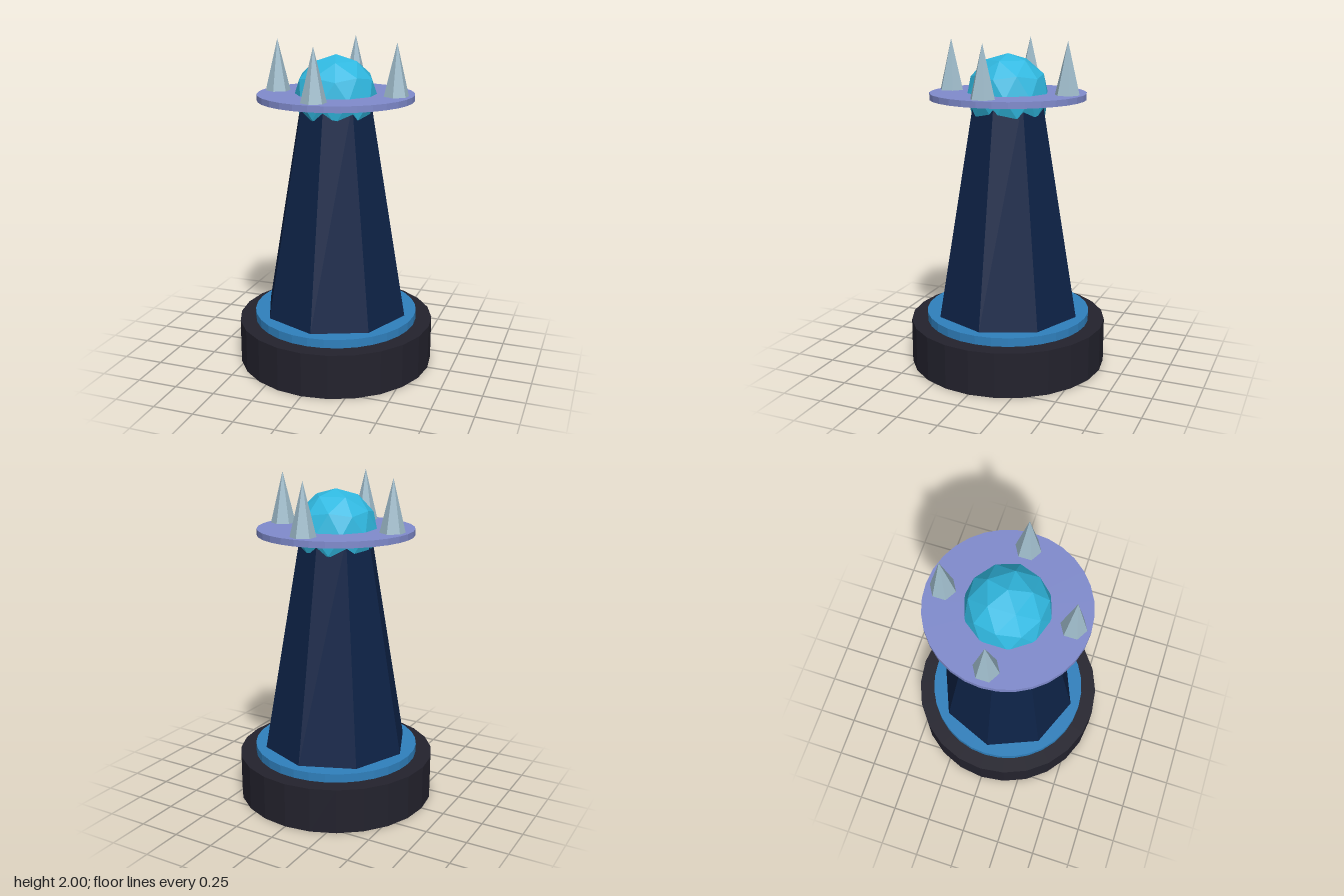
import * as THREE from 'three';

const material = (name, color) => {
  const m = new THREE.MeshStandardMaterial({ color });
  m.name = name;
  m.flatShading = true;
  return m;
};

export function createModel() {
  const model = new THREE.Group();
  model.name = 'crystalTower';

  const charcoal = material('charcoal', 0x23222d);
  const blue = material('blue', 0x2f80bd);
  const navy = material('navy', 0x0d2246);
  const lavender = material('lavender', 0x808bcd);
  const cyan = material('cyan', 0x30b8e0);
  const silver = material('silver', 0x9fbccb);

  const add = (name, geometry, mat, x = 0, y = 0, z = 0) => {
    const mesh = new THREE.Mesh(geometry, mat);
    mesh.name = name;
    mesh.position.set(x, y, z);
    model.add(mesh);
    return mesh;
  };

  // Upright round part between two heights
  const drum = (name, rTop, rBottom, y0, y1, sides, mat) =>
    add(name, new THREE.CylinderGeometry(rTop, rBottom, y1 - y0, sides), mat, 0, (y0 + y1) / 2, 0);

  // Stacked body
  drum('base', 0.607, 0.607, 0, 0.275, 24, charcoal);
  drum('baseRing', 0.508, 0.508, 0.275, 0.328, 32, blue);
  drum('column', 0.219, 0.451, 0.328, 1.655, 8, navy);
  drum('crownPlate', 0.47, 0.47, 1.653, 1.69, 32, lavender);

  // Faceted orb with one corner turned straight up
  const orb = new THREE.IcosahedronGeometry(0.25, 1);
  orb.rotateX(-Math.atan((1 + Math.sqrt(5)) / 2));
  orb.rotateY(Math.PI / 2);
  add('orb', orb, cyan, 0, 1.67, 0);

  // Four spikes around the plate
  const spike = new THREE.ConeGeometry(0.076, 0.312, 6);
  for (let i = 0; i < 4; i++) {
    const a = (i * Math.PI) / 2;
    add('spike' + (i + 1), spike, silver, 0.372 * Math.sin(a), 1.844, 0.372 * Math.cos(a));
  }

  return model;
}
